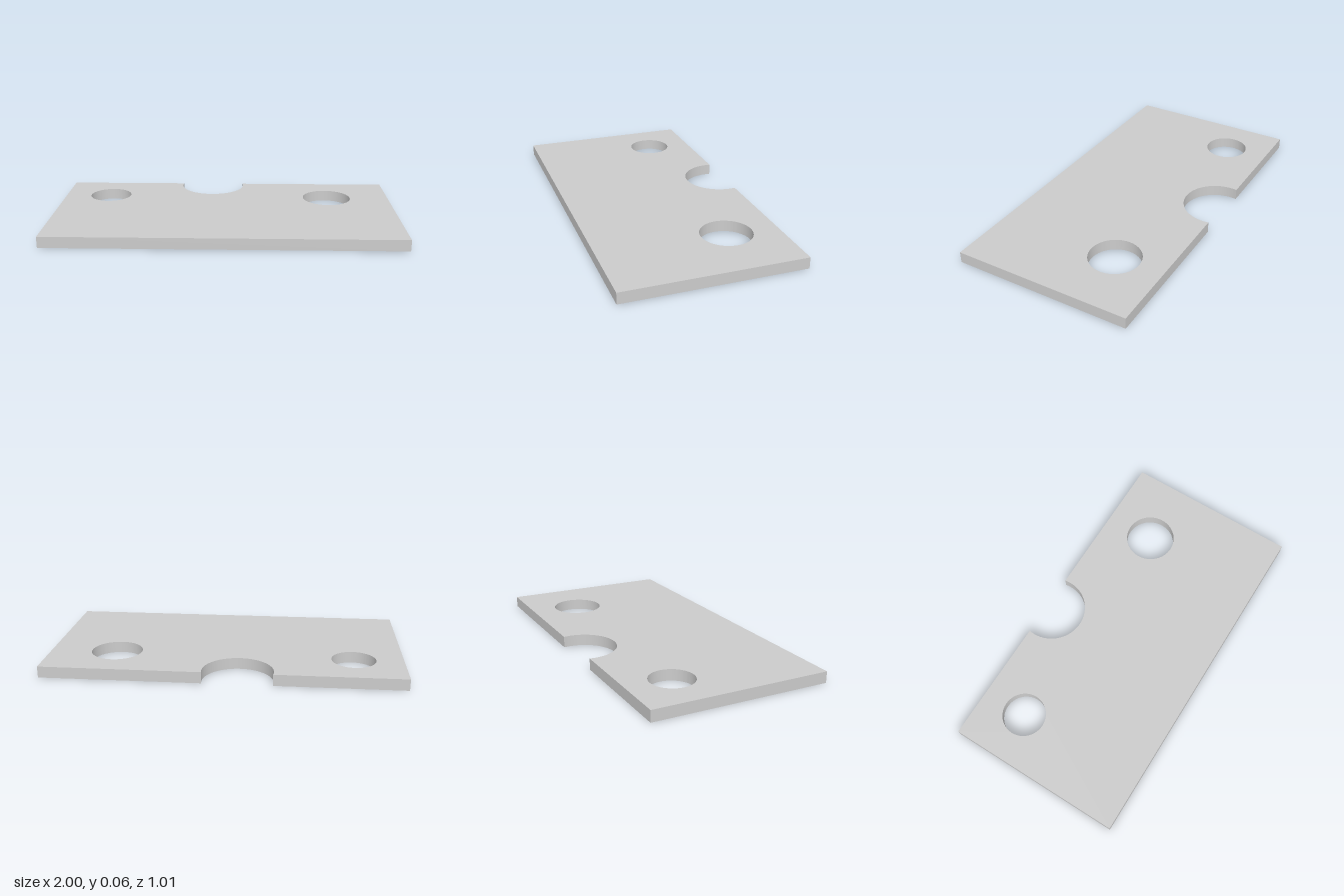
import * as THREE from 'three';
import { toCreasedNormals } from 'three/addons/utils/BufferGeometryUtils.js';

const HALF_DEPTH = 0.507;
const THICKNESS = 0.064;

// Plan positions are [x, z]; the shape's y is -z.
const notch = { x: -0.091, z: -0.473, r: 0.195 };
const holes = [
  { x: -0.722, z: -0.245, r: 0.124 },
  { x: 0.622, z: -0.217, r: 0.145 },
];

export function createModel() {
  // Rectangular outline with a round notch cut into the back edge
  const a = Math.asin((HALF_DEPTH + notch.z) / notch.r);
  const outline = new THREE.Shape();
  outline.moveTo(-1, -HALF_DEPTH);
  outline.lineTo(1, -HALF_DEPTH);
  outline.lineTo(1, HALF_DEPTH);
  outline.absarc(notch.x, -notch.z, notch.r, a, Math.PI - a, true);
  outline.lineTo(-1, HALF_DEPTH);
  outline.closePath();

  // Two round through holes
  for (const { x, z, r } of holes) {
    outline.holes.push(new THREE.Path().absarc(x, -z, r, 0, Math.PI * 2, true));
  }

  // Lay the extrusion flat, resting on the ground
  const solid = new THREE.ExtrudeGeometry(outline, {
    depth: THICKNESS, bevelEnabled: false, curveSegments: 48,
  });
  solid.rotateX(-Math.PI / 2);

  const plate = new THREE.Mesh(
    toCreasedNormals(solid, Math.PI / 6),
    new THREE.MeshStandardMaterial({ color: 0xcccccc }),
  );
  plate.name = 'notchedPlate';

  const group = new THREE.Group();
  group.name = 'mountingPlate';
  group.add(plate);
  return group;
}
